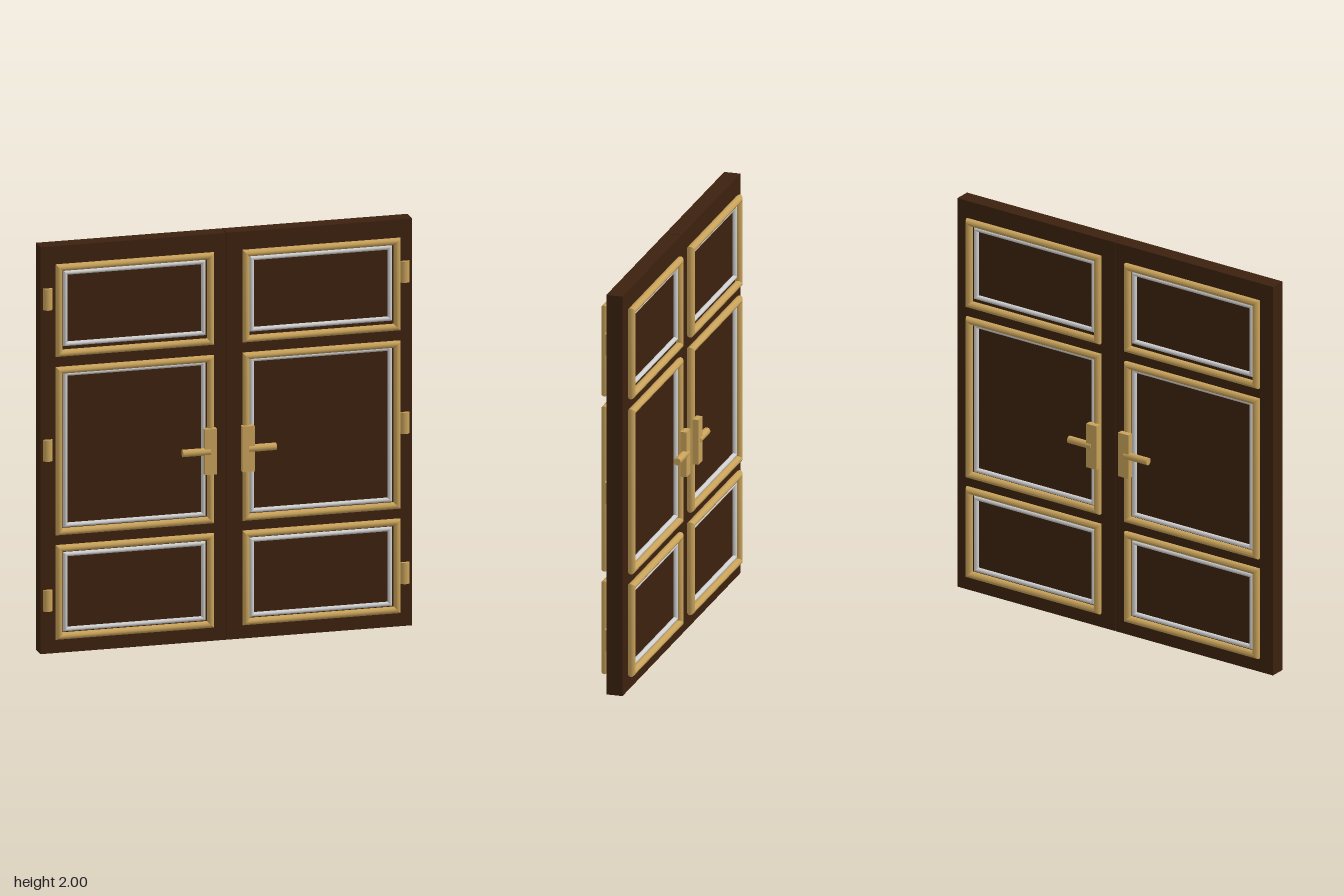
import * as THREE from 'three';
import { mergeGeometries } from 'three/addons/utils/BufferGeometryUtils.js';

const wood = new THREE.MeshStandardMaterial({ color: 0x3c210e });
const brass = new THREE.MeshStandardMaterial({ color: 0xc8a25a });
const silver = new THREE.MeshStandardMaterial({ color: 0xcfcfcf });
wood.name = 'dark wood';
brass.name = 'brass';
silver.name = 'silver';

function add(parent, name, geometry, material, x, y, z) {
  const mesh = new THREE.Mesh(geometry, material);
  mesh.name = name;
  mesh.position.set(x, y, z);
  parent.add(mesh);
  return mesh;
}

// Mitred rectangular frame with a rounded profile; outer size w x h
function frameGeometry(w, h, band, depth, sides = 12) {
  const corners = [[1, 1], [-1, 1], [-1, -1], [1, -1]];
  const parts = corners.map((a, i) => {
    const b = corners[(i + 1) % 4];
    const position = [], index = [];
    for (let j = 0; j <= sides; j++) {
      const t = -Math.PI / 2 + (j / sides) * Math.PI * 2;
      const u = (Math.cos(t) - 1) * band / 2;
      const v = Math.sin(t) * depth / 2;
      for (const [sx, sy] of [a, b]) position.push(sx * (w / 2 + u), sy * (h / 2 + u), v);
      if (j < sides) {
        const k = j * 2;
        index.push(k, k + 1, k + 3, k, k + 3, k + 2);
      }
    }
    const g = new THREE.BufferGeometry();
    g.setAttribute('position', new THREE.Float32BufferAttribute(position, 3));
    g.setIndex(index);
    g.computeVertexNormals();
    return g;
  });
  return mergeGeometries(parts);
}

// Bottom and top of each brass frame and of its silver inlay
const panels = [
  { name: 'lower', outer: [0.075, 0.54], inner: [0.11, 0.5] },
  { name: 'middle', outer: [0.588, 1.415], inner: [0.622, 1.387] },
  { name: 'upper', outer: [1.465, 1.92], inner: [1.512, 1.884] },
];
const mid = ([a, b]) => (a + b) / 2;
const len = ([a, b]) => b - a;
const outerX = [0.07, 0.844];
const innerX = [0.107, 0.805];

function createDoor(side) {
  const door = new THREE.Group();
  door.name = side > 0 ? 'leftDoor' : 'rightDoor';
  add(door, 'slab', new THREE.BoxGeometry(0.908, 2, 0.08), wood, side * 0.456, 1, 0);

  // Framed panels on both faces
  for (const p of panels) {
    const outer = frameGeometry(len(outerX), len(p.outer), 0.034, 0.038);
    const inner = frameGeometry(len(innerX), len(p.inner), 0.022, 0.024);
    add(door, p.name + 'RaisedPanel', new THREE.BoxGeometry(len(innerX), len(p.inner), 0.015), wood,
      side * mid(innerX), mid(p.inner), 0.046);
    for (const [face, offset] of [['Front', 0.0535], ['Back', -0.04]]) {
      const dir = Math.sign(offset);
      add(door, p.name + face + 'BrassFrame', outer, brass, side * mid(outerX), mid(p.outer), offset + dir * 0.019);
      add(door, p.name + face + 'SilverFrame', inner, silver, side * mid(innerX), mid(p.inner), offset + dir * 0.008);
    }
  }

  // Handles on both faces
  for (const [face, dir] of [['front', 1], ['back', -1]]) {
    add(door, face + 'HandlePlate', new THREE.BoxGeometry(0.06, 0.224, 0.03), brass, side * 0.092, 0.948, dir * 0.089);
    const lever = add(door, face + 'Lever', new THREE.CylinderGeometry(0.018, 0.018, 0.136, 16), brass,
      side * 0.161, 0.948, dir * 0.092);
    lever.rotation.z = Math.PI / 2;
  }

  // Hinge barrels on the front
  for (const y of [0.262, 1, 1.743]) {
    add(door, 'hinge', new THREE.CylinderGeometry(0.024, 0.024, 0.105, 16), brass, side * 0.874, y, 0.034);
  }
  return door;
}

export function createModel() {
  const model = new THREE.Group();
  model.name = 'doubleDoor';
  for (const side of [-1, 1]) model.add(createDoor(side));
  return model;
}
